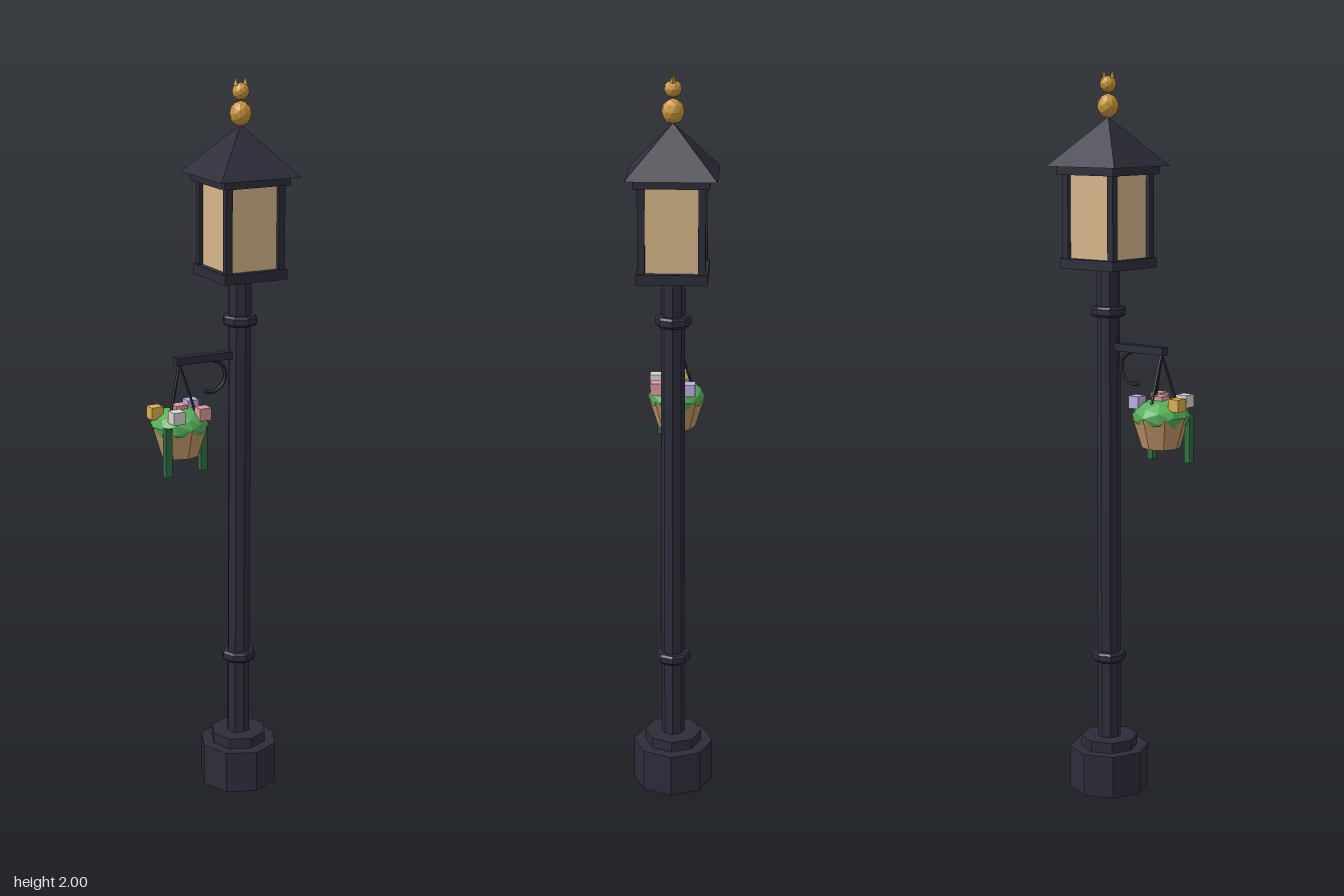
import * as THREE from 'three';

const mat = (name, color) => Object.assign(new THREE.MeshStandardMaterial({ color }), { name });

// Faceted normals for low-poly surfaces
function facet(geo) {
  const g = geo.index ? geo.toNonIndexed() : geo;
  g.computeVertexNormals();
  return g;
}

export function createModel() {
  const iron = mat('iron', 0x2d2d3b);
  const glass = mat('warm glass', 0xd6b68a);
  const gold = mat('gold', 0xc8963a);
  const wood = mat('basket wood', 0xc4986a);
  const leaf = mat('leaf green', 0x55b058);
  const vineGreen = mat('vine green', 0x2f6e42);
  const pink = mat('pink petals', 0xdc9a9a);
  const white = mat('white petals', 0xdad4d0);
  const lavender = mat('lavender petals', 0xbfaee0);
  const yellow = mat('yellow petals', 0xdcae50);

  const root = new THREE.Group();
  root.name = 'streetLamp';
  const group = (name, x, y, z) => {
    const g = new THREE.Group();
    g.name = name;
    g.position.set(x, y, z);
    root.add(g);
    return g;
  };
  const add = (parent, name, geo, material, x = 0, y = 0, z = 0) => {
    const m = new THREE.Mesh(facet(geo), material);
    m.name = name;
    m.position.set(x, y, z);
    parent.add(m);
    return m;
  };
  const box = (w, h, d) => new THREE.BoxGeometry(w, h, d);
  const cyl = (rTop, rBottom, h, n = 8) => new THREE.CylinderGeometry(rTop, rBottom, h, n);

  // Stepped octagonal base and pole
  const lamp = group('lampPost', 0.073, 0, 0);
  add(lamp, 'base', cyl(0.111, 0.111, 0.12), iron, 0, 0.06);
  add(lamp, 'baseStep', cyl(0.079, 0.079, 0.03), iron, 0, 0.135);
  add(lamp, 'pole', cyl(0.032, 0.032, 1.34), iron, 0, 0.81);

  // Chamfered collars round the pole
  const collarProfile = [[0.03, -0.014], [0.043, -0.014], [0.048, -0.008],
    [0.048, 0.008], [0.043, 0.014], [0.03, 0.014]].map(p => new THREE.Vector2(...p));
  for (const y of [0.384, 1.356]) add(lamp, 'collar', new THREE.LatheGeometry(collarProfile, 8), iron, 0, y);

  // Lantern: floor, glass, corner posts, top frame and pyramid roof
  add(lamp, 'lanternFloor', box(0.186, 0.027, 0.186), iron, 0, 1.487);
  add(lamp, 'lanternGlass', box(0.152, 0.23, 0.152), glass, 0, 1.613);
  for (const x of [-1, 1]) for (const z of [-1, 1])
    add(lamp, 'cornerPost', box(0.019, 0.23, 0.019), iron, x * 0.078, 1.613, z * 0.078);
  add(lamp, 'lanternTopFrame', box(0.196, 0.022, 0.196), iron, 0, 1.735);
  add(lamp, 'roof', new THREE.ConeGeometry(0.118 * Math.SQRT2, 0.13, 4).rotateY(Math.PI / 4), iron, 0, 1.811);

  // Eared finial
  add(lamp, 'finialBody', new THREE.IcosahedronGeometry(0.03, 1).scale(0.98, 1.1, 0.98), gold, 0, 1.905);
  add(lamp, 'finialHead', new THREE.IcosahedronGeometry(0.023, 1), gold, 0, 1.962);
  for (const s of [-1, 1])
    add(lamp, 'finialEar', new THREE.ConeGeometry(0.008, 0.022, 4), gold, s * 0.014, 1.989);

  // Bracket arm with a curled brace
  const bracket = group('bracket', 0, 0, 0);
  add(bracket, 'arm', box(0.185, 0.021, 0.022), iron, -0.0295, 1.261);
  const curl = [];
  for (let i = 0; i <= 10; i++) {
    const a = THREE.MathUtils.degToRad(80 - i * 19.5);
    curl.push(new THREE.Vector3(-0.016 + 0.044 * Math.cos(a), 1.208 + 0.044 * Math.sin(a), 0));
  }
  add(bracket, 'curl', new THREE.TubeGeometry(new THREE.CatmullRomCurve3(curl), 14, 0.006, 5), iron);

  // Hanging basket and foliage
  const basket = group('hangingBasket', -0.11, 0, 0);
  add(basket, 'basketBowl', cyl(0.078, 0.052, 0.083), wood, 0, 1.042);
  add(basket, 'foliage', new THREE.IcosahedronGeometry(0.079, 1).scale(1, 0.58, 1), leaf, 0, 1.088);

  // Three hanging rods
  for (let i = 0; i < 3; i++) {
    const a = -Math.PI / 2 + i * Math.PI * 2 / 3;
    const path = new THREE.LineCurve3(new THREE.Vector3(0, 1.255, 0),
      new THREE.Vector3(0.046 * Math.cos(a), 1.11, 0.046 * Math.sin(a)));
    add(basket, 'hanger', new THREE.TubeGeometry(path, 1, 0.004, 5), iron);
  }

  // Blossoms
  for (const [material, x, z] of [[yellow, -0.065, -0.016], [white, -0.036, 0.058],
    [pink, 0.045, 0.052], [lavender, 0.053, -0.037], [pink, 0, -0.002]])
    add(basket, 'blossom', box(0.034, 0.034, 0.034), material, x, 1.124, z);

  // Trailing vines
  for (const [x, z] of [[-0.058, 0.047], [0.055, 0.03]])
    add(basket, 'vine', box(0.019, 0.135, 0.019), vineGreen, x, 1.026, z);

  return root;
}
